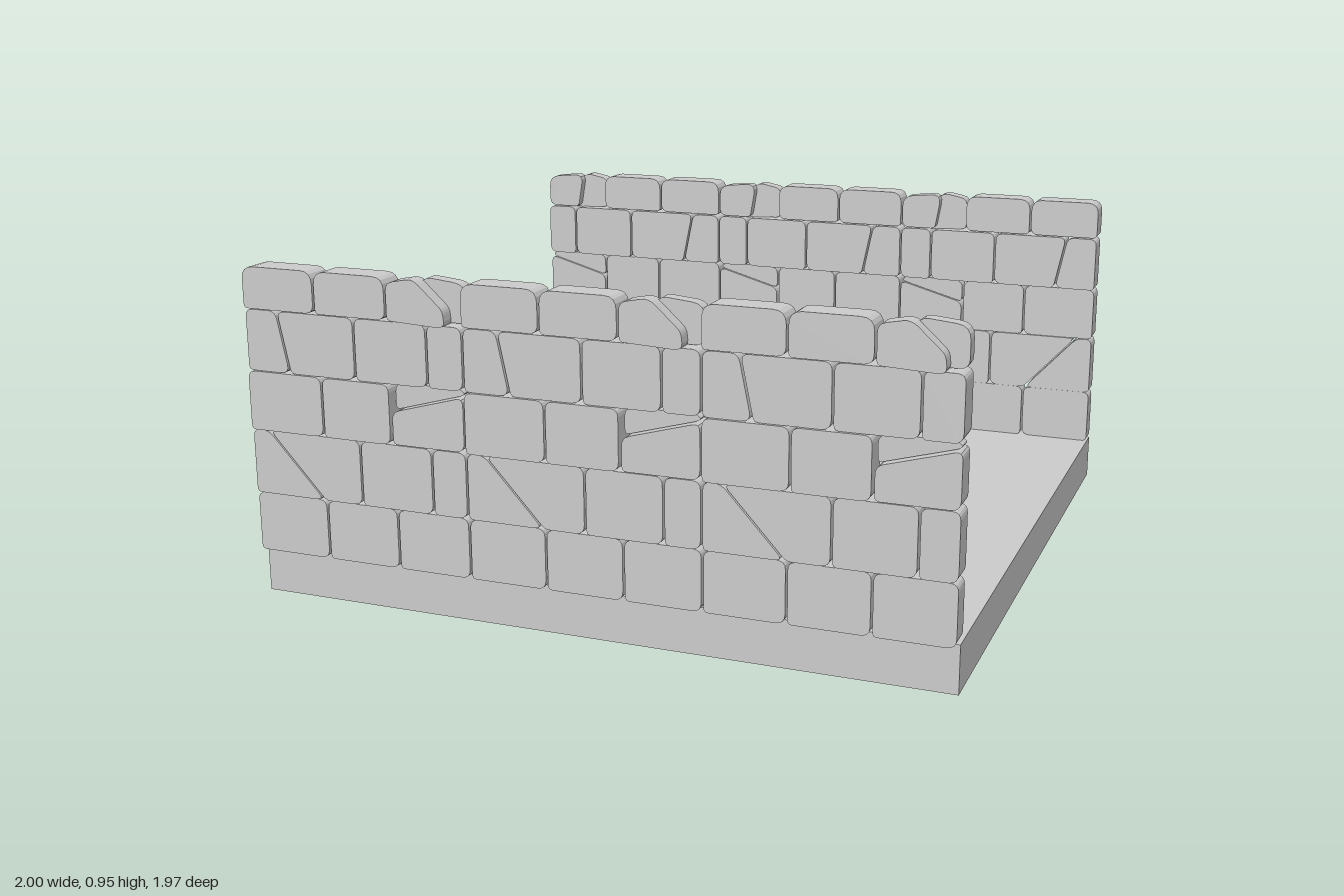
import * as THREE from 'three';

const grey = new THREE.MeshStandardMaterial({ color: 0xcccccc });
const SEGMENT = 2 / 3; // the stone pattern repeats three times along each wall
const GAP = 0.003;

// Courses from the bottom up; each joint is [x at its foot, x at its head].
const courses = [
  { bottom: 0.134, top: 0.303, back: 0.91, front: 0.975, joints: [[0, 0], [0.226, 0.226], [0.448, 0.448], [SEGMENT, SEGMENT]] },
  { bottom: 0.304, top: 0.487, back: 0.907, front: 0.979, joints: [[0, 0], [0.223, 0.055], [0.343, 0.343], [0.563, 0.563], [SEGMENT, SEGMENT]] },
  { bottom: 0.488, top: 0.655, back: 0.91, front: 0.985, joints: [[0, 0], [0.235, 0.235], [0.445, 0.445]] },
  { bottom: 0.656, top: 0.827, back: 0.9, front: 0.979, joints: [[0, 0], [0.135, 0.1], [0.34, 0.34], [0.56, 0.56], [SEGMENT, SEGMENT]] },
  { bottom: 0.83, top: 0.946, back: 0.905, front: 0.985, round: 0.035, joints: [[0, 0], [0.225, 0.225], [0.445, 0.445]] },
];

// Flat stone from its outline, the corners softened by short curves.
// Rounding alternates between tight and worn corners.
function stoneGeometry(outline, back, front, upperRound = 0.022) {
  const points = outline.map(([x, y]) => new THREE.Vector2(x, y));
  const count = points.length;
  const middle = points.reduce((sum, p) => sum + p.y, 0) / count;
  const shape = new THREE.Shape();
  points.forEach((p, i) => {
    const radius = p.y > middle ? upperRound : 0.014 + 0.012 * (i % 2);
    const towards = (q) => {
      const distance = p.distanceTo(q);
      return p.clone().lerp(q, Math.min(radius, distance * 0.4) / distance);
    };
    const start = towards(points[(i + count - 1) % count]);
    const end = towards(points[(i + 1) % count]);
    if (i === 0) shape.moveTo(start.x, start.y);
    else shape.lineTo(start.x, start.y);
    shape.quadraticCurveTo(p.x, p.y, end.x, end.y);
  });
  shape.closePath();
  const geometry = new THREE.ExtrudeGeometry(shape, { depth: front - back, bevelEnabled: false, curveSegments: 4 });
  return geometry.translate(0, 0, back);
}

function createStones() {
  const stones = [];
  for (const { bottom, top, back, front, round, joints } of courses) {
    for (let i = 0; i + 1 < joints.length; i++) {
      const [footLeft, headLeft] = joints[i];
      const [footRight, headRight] = joints[i + 1];
      stones.push(stoneGeometry([
        [footLeft + GAP, bottom],
        [footRight - GAP, bottom],
        [headRight - GAP, top],
        [headLeft + GAP, top],
      ], back, front, round));
    }
  }
  // split stone of the third course: lower block and slanting wedge on top
  stones.push(stoneGeometry([[0.45, 0.49], [0.664, 0.49], [0.664, 0.64], [0.45, 0.58]], 0.91, 0.983));
  stones.push(stoneGeometry([[0.45, 0.582], [0.664, 0.642], [0.64, 0.66], [0.45, 0.653]], 0.915, 0.96));
  // split stone of the top course: front half and inner half overlap
  stones.push(stoneGeometry([[0.448, 0.83], [0.62, 0.822], [0.615, 0.87], [0.53, 0.948], [0.448, 0.932]], 0.935, 0.985));
  stones.push(stoneGeometry([[0.55, 0.83], [0.664, 0.83], [0.664, 0.935], [0.53, 0.948]], 0.905, 0.945, 0.035));
  return stones;
}

function createWall(name, geometries) {
  const wall = new THREE.Group();
  wall.name = name;
  for (let s = 0; s < 3; s++) {
    const segment = new THREE.Group();
    segment.name = 'wallSegment';
    segment.position.x = -1 + s * SEGMENT;
    for (const geometry of geometries) {
      const stone = new THREE.Mesh(geometry, grey);
      stone.name = 'stone';
      segment.add(stone);
    }
    wall.add(segment);
  }
  return wall;
}

export function createModel() {
  const model = new THREE.Group();
  model.name = 'walledWalkway';

  // floor slab
  const slab = new THREE.Mesh(new THREE.BoxGeometry(2, 0.134, 1.905), grey);
  slab.name = 'floorSlab';
  slab.position.set(0, 0.067, -0.008);
  model.add(slab);

  // two parapets, the back one turned half round
  const geometries = createStones();
  const frontWall = createWall('frontWall', geometries);
  const backWall = createWall('backWall', geometries);
  backWall.rotation.y = Math.PI;
  model.add(frontWall, backWall);
  return model;
}
